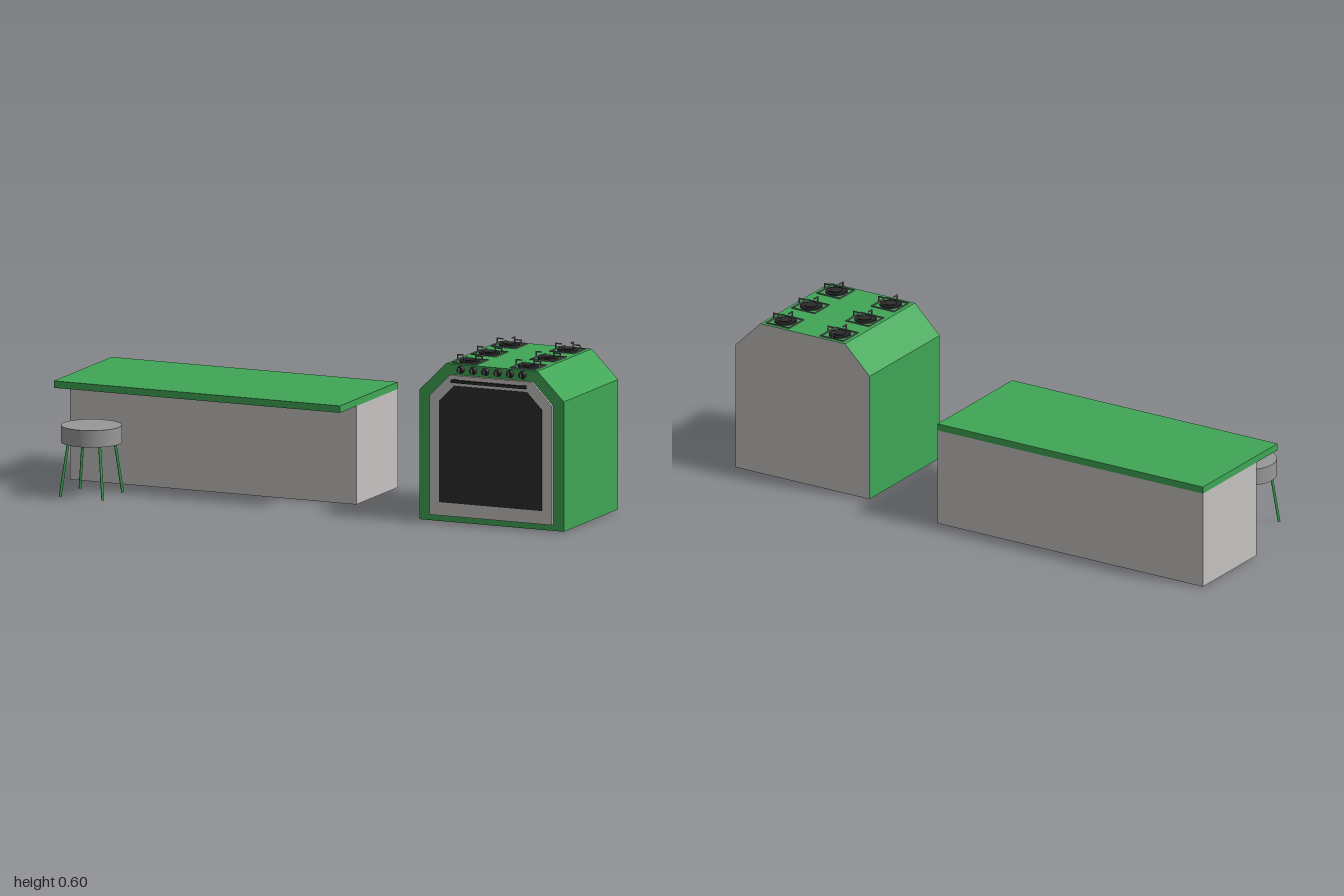
import * as THREE from 'three';

const material = (name, color) => {
  const m = new THREE.MeshStandardMaterial({ color });
  m.name = name;
  return m;
};

export function createModel() {
  const green = material('green enamel', 0x3fa655);
  const pale = material('pale grey', 0xc5c2c0);
  const grey = material('seat grey', 0x989898);
  const steel = material('grate steel', 0x77777a);
  const black = material('black', 0x2b2b2c);

  const model = new THREE.Group();
  model.name = 'kitchenSet';

  const add = (parent, name, geometry, mat, x = 0, y = 0, z = 0) => {
    const mesh = new THREE.Mesh(geometry, mat);
    mesh.name = name;
    mesh.position.set(x, y, z);
    parent.add(mesh);
    return mesh;
  };
  const group = (parent, name, x = 0, y = 0, z = 0) => {
    const g = new THREE.Group();
    g.name = name;
    g.position.set(x, y, z);
    parent.add(g);
    return g;
  };
  // Box given by its minimum and maximum corners
  const box = (parent, name, mat, x0, x1, y0, y1, z0, z1) =>
    add(parent, name, new THREE.BoxGeometry(x1 - x0, y1 - y0, z1 - z0), mat,
      (x0 + x1) / 2, (y0 + y1) / 2, (z0 + z1) / 2);

  // Counter with a front overhang
  const counter = group(model, 'counter');
  box(counter, 'counterBase', pale, -1, 0.115, 0, 0.355, -0.345, 0.006);
  box(counter, 'counterTop', green, -1, 0.115, 0.355, 0.38, -0.345, 0.145);

  // Stool with four splayed legs
  const stool = group(model, 'stool', -0.812, 0, 0.235);
  add(stool, 'seat', new THREE.CylinderGeometry(0.108, 0.108, 0.061, 40), grey, 0, 0.222, 0);
  for (const sx of [-1, 1]) for (const sz of [-1, 1]) {
    const foot = new THREE.Vector3(sx * 0.083, 0.002, sz * 0.084);
    const top = new THREE.Vector3(sx * 0.061, 0.195, sz * 0.063);
    const dir = top.clone().sub(foot);
    const leg = add(stool, 'stoolLeg', new THREE.CylinderGeometry(0.005, 0.005, dir.length(), 10), green);
    leg.position.copy(foot).add(top).multiplyScalar(0.5);
    leg.quaternion.setFromUnitVectors(new THREE.Vector3(0, 1, 0), dir.normalize());
  }

  // Cooker outline: upright panel with both upper corners cut off
  const cooker = group(model, 'cooker', 0.719, 0, 0);
  const outline = (half, topHalf, y0, shoulder, y1) => new THREE.Shape([
    [-half, y0], [half, y0], [half, shoulder], [topHalf, y1], [-topHalf, y1], [-half, shoulder],
  ].map(([x, y]) => new THREE.Vector2(x, y)));
  const slab = (shape, depth) => new THREE.ExtrudeGeometry(shape, { depth, bevelEnabled: false });

  const bodyShape = outline(0.281, 0.178, 0.003, 0.471, 0.573);
  add(cooker, 'cookerBody', slab(bodyShape, 0.46), green, 0, 0, -0.287);
  const back = add(cooker, 'backPanel', new THREE.ShapeGeometry(bodyShape), pale, 0, 0, -0.288);
  back.rotation.y = Math.PI;
  add(cooker, 'ovenDoor', slab(outline(0.238, 0.16, 0.025, 0.455, 0.534), 0.01), pale, 0, 0, 0.173);
  add(cooker, 'ovenWindow', slab(outline(0.2, 0.142, 0.073, 0.438, 0.497), 0.0015), black, 0, 0, 0.183);

  // Door handle on two mounts
  box(cooker, 'handleBar', black, -0.145, 0.145, 0.511, 0.521, 0.195, 0.205);
  for (const s of [-1, 1]) {
    box(cooker, 'handleMount', black, s * 0.135 - 0.006, s * 0.135 + 0.006, 0.511, 0.521, 0.183, 0.195);
  }

  // Row of control knobs
  for (let i = 0; i < 6; i++) {
    const knob = group(cooker, 'knob', (i - 2.5) * 0.048, 0.555, 0.173);
    const dial = add(knob, 'knobBase', new THREE.CylinderGeometry(0.011, 0.014, 0.011, 16), black, 0, 0, 0.0055);
    dial.rotation.x = Math.PI / 2;
    const cap = add(knob, 'knobCap', new THREE.CylinderGeometry(0.01, 0.01, 0.005, 16), black, 0, 0, 0.0135);
    cap.rotation.x = Math.PI / 2;
    box(knob, 'knobMark', steel, -0.0025, 0.0025, -0.009, 0.009, 0.016, 0.017);
  }

  // Six burners, each with a square grate and four bent prongs
  for (const x of [-0.114, 0.114]) for (const z of [-0.225, -0.057, 0.109]) {
    const burner = group(cooker, 'burner', x, 0.573, z);
    add(burner, 'burnerBase', new THREE.CylinderGeometry(0.037, 0.037, 0.006, 24), black, 0, 0.003, 0);
    add(burner, 'burnerCap', new THREE.CylinderGeometry(0.024, 0.024, 0.004, 24), black, 0, 0.008, 0);
    for (let k = 0; k < 4; k++) {
      const side = group(burner, 'grateSide');
      side.rotation.y = k * Math.PI / 2;
      box(side, 'grateRail', steel, -0.049, 0.049, 0, 0.004, 0.045, 0.049);
      box(side, 'prongPost', steel, -0.002, 0.002, 0, 0.024, 0.045, 0.049);
      box(side, 'prongFinger', steel, -0.002, 0.002, 0.02, 0.024, 0.024, 0.045);
    }
  }

  return model;
}
